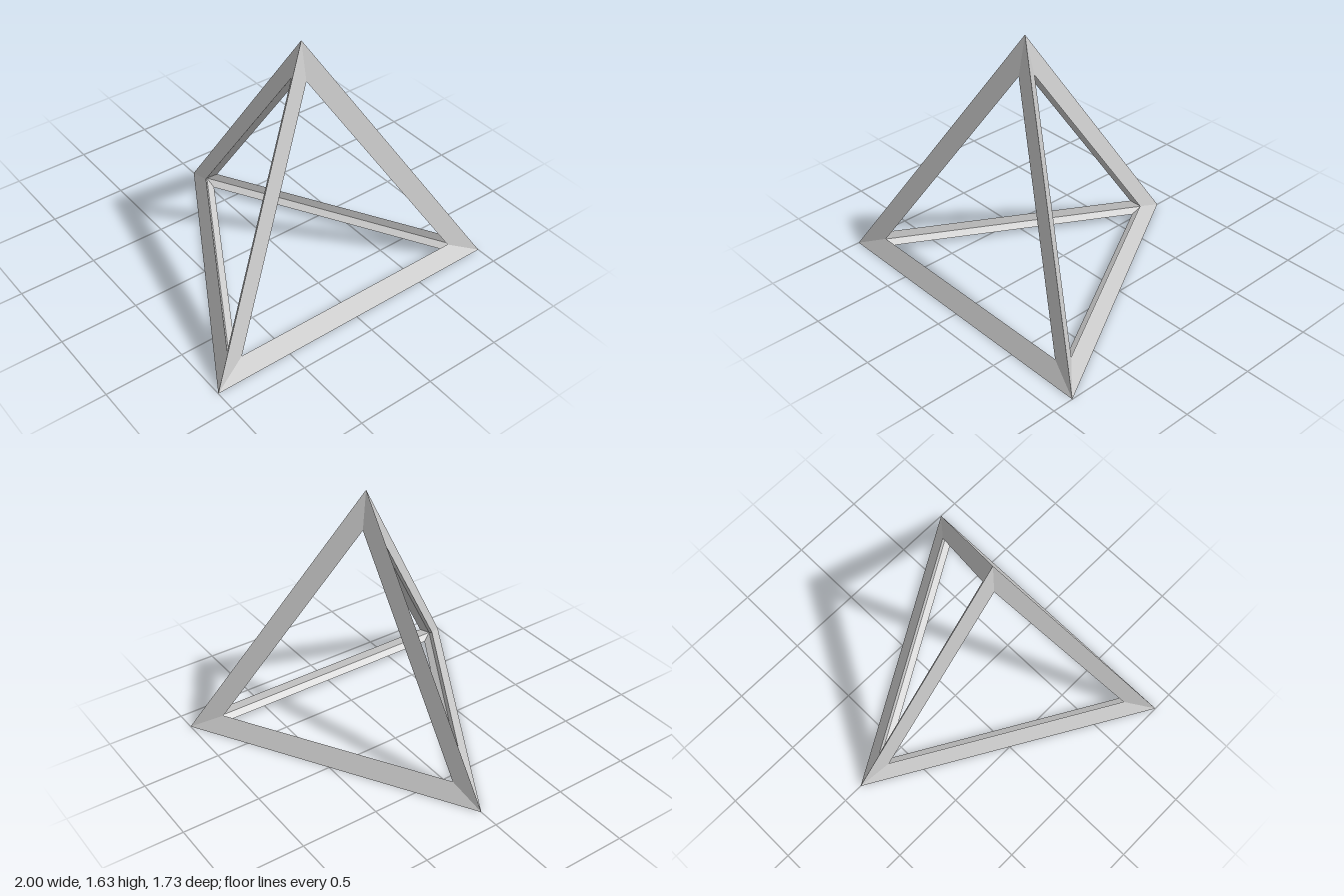
import * as THREE from 'three';

const CENTRE = new THREE.Vector3(0, 0.408, 0.289);
const INNER = 0.86;      // scale of the inner valley corners about the centre
const HOLE_DEPTH = 0.924; // scale of the opening's plane towards the centre
const HOLE_SIZE = 0.788;  // scale of the opening within its face

// Corners of a regular tetrahedron with edge length 2
const corners = [
  new THREE.Vector3(-1, 0, 0.866),
  new THREE.Vector3(1, 0, 0.866),
  new THREE.Vector3(0, 0, -0.866),
  new THREE.Vector3(0, 1.633, 0.289),
];

const innerCorner = (i) => corners[i].clone().sub(CENTRE).multiplyScalar(INNER).add(CENTRE);

// Corner near vertex i of the triangular opening in the face opposite vertex f
function holeCorner(i, f) {
  const mid = new THREE.Vector3();
  corners.forEach((c, n) => { if (n !== f) mid.addScaledVector(c, 1 / 3); });
  const offset = corners[i].clone().sub(mid).multiplyScalar(HOLE_SIZE);
  return mid.sub(CENTRE).multiplyScalar(HOLE_DEPTH).add(CENTRE).add(offset);
}

// Mitred strut from corner i to corner j: outer ridge, two opening edges, inner valley
function strutGeometry(i, j, a, b) {
  const along = corners[j].clone().sub(corners[i]);
  const toA = holeCorner(i, a).sub(corners[i]);
  const toB = holeCorner(i, b).sub(corners[i]);
  if (along.cross(toA).dot(toB) > 0) [a, b] = [b, a];

  const section = (n) => [corners[n], holeCorner(n, a), innerCorner(n), holeCorner(n, b)];
  const s = section(i), e = section(j);
  const points = [];
  for (let k = 0; k < 4; k++) {
    const m = (k + 1) % 4;
    points.push(s[k], e[k], e[m], s[k], e[m], s[m]);
  }
  const geometry = new THREE.BufferGeometry().setFromPoints(points);
  geometry.computeVertexNormals();
  return geometry;
}

export function createModel() {
  const group = new THREE.Group();
  group.name = 'tetrahedronFrame';
  const material = new THREE.MeshStandardMaterial({ color: 0xcccccc, flatShading: true });

  // Each strut joins two corners and borders the faces opposite the other two
  const struts = [
    ['frontBaseStrut', 0, 1, 2, 3],
    ['leftBaseStrut', 1, 2, 0, 3],
    ['rightBaseStrut', 2, 0, 1, 3],
    ['rightUprightStrut', 0, 3, 1, 2],
    ['leftUprightStrut', 1, 3, 0, 2],
    ['backUprightStrut', 2, 3, 0, 1],
  ];
  for (const [name, ...ids] of struts) {
    const mesh = new THREE.Mesh(strutGeometry(...ids), material);
    mesh.name = name;
    group.add(mesh);
  }
  return group;
}
